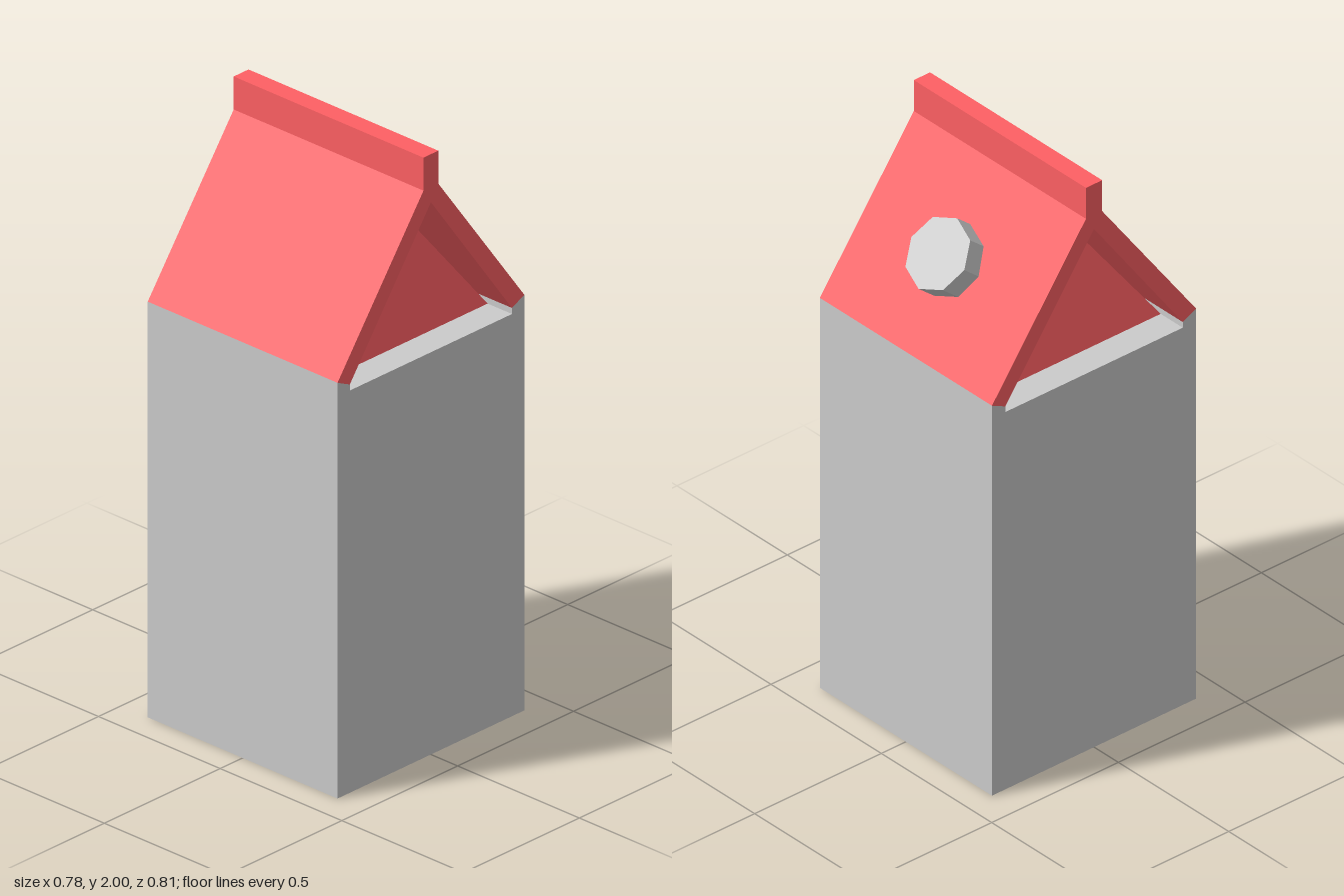
import * as THREE from 'three';

const WIDTH = 0.78;

const grey = new THREE.MeshStandardMaterial({ color: 0xcccccc, flatShading: true });
const red = new THREE.MeshStandardMaterial({ color: 0xff6064, flatShading: true });
const redThin = new THREE.MeshStandardMaterial({ color: 0xff6064, flatShading: true, side: THREE.DoubleSide });

// Extrude a (z, y) profile across the full width of the carton
function acrossWidth(name, points, material) {
  const shape = new THREE.Shape(points.map(([z, y]) => new THREE.Vector2(z, y)));
  const geometry = new THREE.ExtrudeGeometry(shape, { depth: WIDTH, bevelEnabled: false });
  geometry.translate(0, 0, -WIDTH / 2);
  geometry.rotateY(-Math.PI / 2);
  const mesh = new THREE.Mesh(geometry, material);
  mesh.name = name;
  return mesh;
}

// Mirror half a profile in z to close it
const mirrored = (half) => [...half, ...half.slice().reverse().map(([z, y]) => [-z, y])];

export function createModel() {
  const group = new THREE.Group();
  group.name = 'carton';

  // Body with a raised rim under the front and back roof slopes
  group.add(acrossWidth('body', mirrored([[0.403, 0], [0.403, 1.385], [0.35, 1.36], [0.35, 1.34]]), grey));

  // Folded roof with the upright sealed fin
  const outer = [[0.403, 1.385], [0.032, 1.89], [0.032, 2]];
  group.add(acrossWidth('roof', [...mirrored(outer), [-0.35, 1.36], [0, 1.84], [0.35, 1.36]], red));

  // Gusset panels leaning inward at both ends
  for (const side of [1, -1]) {
    const geometry = new THREE.BufferGeometry();
    geometry.setAttribute('position', new THREE.Float32BufferAttribute([
      side * 0.29, 1.34, 0.35 * side,
      side * 0.29, 1.34, -0.35 * side,
      side * 0.12, 1.84, 0,
    ], 3));
    geometry.computeVertexNormals();
    const panel = new THREE.Mesh(geometry, redThin);
    panel.name = side > 0 ? 'leftGusset' : 'rightGusset';
    group.add(panel);
  }

  // Octagonal screw cap on the back slope
  const capGeometry = new THREE.CylinderGeometry(0.12, 0.12, 0.09, 8);
  capGeometry.translate(0, -0.045, 0);
  const cap = new THREE.Mesh(capGeometry, grey);
  cap.name = 'cap';
  cap.position.set(0, 1.68, -0.277);
  cap.rotation.x = THREE.MathUtils.degToRad(-50.5);
  group.add(cap);

  return group;
}
